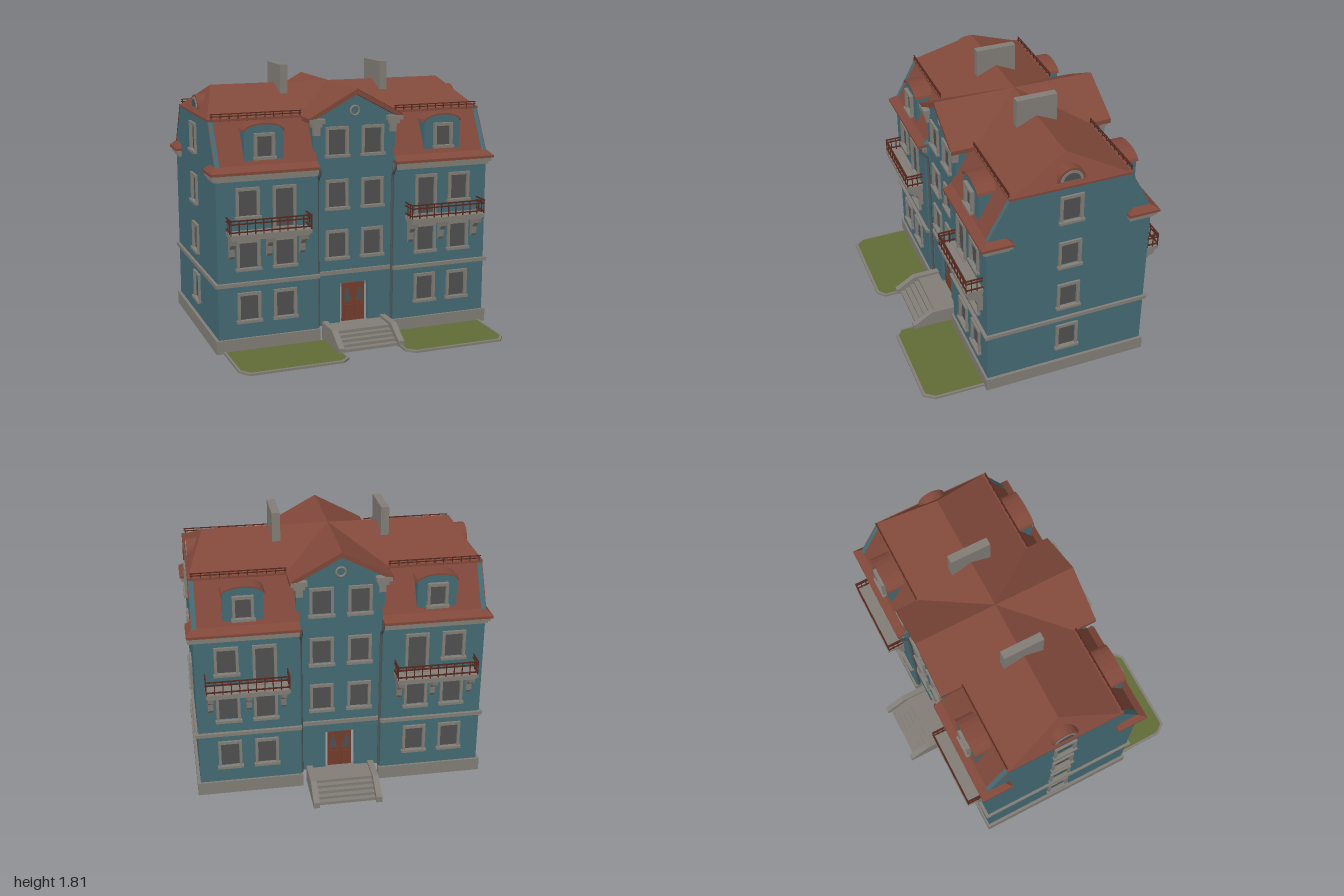
import * as THREE from 'three';

const mat = (name, color) => Object.assign(new THREE.MeshStandardMaterial({ color, side: THREE.DoubleSide }), { name });
const WALL = mat('wall teal', 0x456b75), ROOF = mat('roof red', 0x80483a), STONE = mat('stone grey', 0x827e77);
const GLASS = mat('window grey', 0x505050), RAIL = mat('rail brown', 0x55281e), DOOR = mat('door brown', 0x743d2c);
const LAWN = mat('lawn green', 0x616b36), PIPE = mat('pipe grey', 0x4f5657);

function add(parent, name, geo, m) {
  const mesh = new THREE.Mesh(geo, m);
  mesh.name = name;
  parent.add(mesh);
  return mesh;
}

// box given by its lower and upper limits on each axis
function box(p, name, m, x0, x1, y0, y1, z0, z1) {
  const g = new THREE.BoxGeometry(Math.abs(x1 - x0), y1 - y0, z1 - z0);
  return add(p, name, g.translate((x0 + x1) / 2, (y0 + y1) / 2, (z0 + z1) / 2), m);
}

// outline with rectangular holes [x, y, w, h] (centres), extruded so that it ends at z = front
function panel(pts, holes, depth, front) {
  const s = new THREE.Shape(pts.map(p => new THREE.Vector2(p[0], p[1])));
  for (const [x, y, w, h] of holes) {
    const a = w / 2, b = h / 2;
    s.holes.push(new THREE.Path([[x - a, y - b], [x - a, y + b], [x + a, y + b], [x + a, y - b]].map(p => new THREE.Vector2(...p))));
  }
  return new THREE.ExtrudeGeometry(s, { depth, bevelEnabled: false }).translate(0, 0, front - depth);
}
const rect = (x0, x1, y0, y1) => [[x0, y0], [x1, y0], [x1, y1], [x0, y1]];

// profile drawn in (z, y), extruded along x from x0 to x1
const sideProfile = (pts, x0, x1) => panel(pts, [], x1 - x0, x1 - x0).rotateY(-Math.PI / 2).translate(x1, 0, 0);

// flat faces, each a fan of corners
function faces(polys) {
  const v = [];
  for (const p of polys) for (let i = 1; i < p.length - 1; i++) v.push(...p[0], ...p[i], ...p[i + 1]);
  const g = new THREE.BufferGeometry();
  g.setAttribute('position', new THREE.Float32BufferAttribute(v, 3));
  g.computeVertexNormals();
  return g;
}

const arcPts = (r, h, n, y) => Array.from({ length: n + 1 }, (_, i) => {
  const a = Math.PI * i / n;
  return [r * Math.cos(a), y + h * Math.sin(a)];
});

// framed window with sill, centred on (x, y) of a wall at z
function windowUnit(p, x, y, z, w = 0.12, h = 0.165, name = 'window') {
  const g = new THREE.Group();
  g.name = name;
  g.position.set(x, y, z);
  const a = w / 2, b = h / 2;
  add(g, 'windowFrame', panel(rect(-a - 0.018, a + 0.018, -b - 0.015, b + 0.02), [[0, 0, w, h]], 0.025, 0.015), STONE);
  box(g, 'windowSill', STONE, -a - 0.026, a + 0.026, -b - 0.018, -b, 0, 0.026);
  box(g, 'windowPane', GLASS, -a, a, -b, b, -0.012, -0.006);
  p.add(g);
}

// balcony on three curved brackets with an open railing
function balcony(p) {
  const g = new THREE.Group();
  g.name = 'balcony';
  box(g, 'balconySlab', STONE, 0.35, 0.89, 0.785, 0.81, 0.56, 0.68);
  box(g, 'balconySlabMoulding', STONE, 0.36, 0.88, 0.77, 0.785, 0.56, 0.665);
  const curve = [[0.56, 0.77], [0.66, 0.77], [0.655, 0.74], [0.62, 0.73], [0.595, 0.7], [0.59, 0.65], [0.575, 0.63], [0.56, 0.63]];
  for (const x of [0.385, 0.61, 0.86]) add(g, 'balconyBracket', sideProfile(curve, x - 0.017, x + 0.017), STONE);
  const t = 0.004;
  for (const y of [0.828, 0.88, 0.902]) {
    box(g, 'frontRail', RAIL, 0.35, 0.89, y - t, y + t, 0.669, 0.677);
    for (const x of [0.354, 0.886]) box(g, 'sideRail', RAIL, x - t, x + t, y - t, y + t, 0.56, 0.675);
  }
  for (let i = 0; i <= 10; i++) {
    const x = 0.354 + 0.0532 * i;
    box(g, 'railPost', RAIL, x - 0.003, x + 0.003, 0.81, 0.9, 0.67, 0.676);
  }
  for (const x of [0.354, 0.886]) for (const z of [0.6, 0.637])
    box(g, 'railPost', RAIL, x - 0.003, x + 0.003, 0.81, 0.9, z - 0.003, z + 0.003);
  p.add(g);
}

// arched roof dormer
function dormer(p) {
  const g = new THREE.Group();
  g.name = 'dormer';
  g.position.x = 0.625;
  const face = [[-0.13, 1.23], [0.13, 1.23], ...arcPts(0.13, 0.045, 10, 1.435)];
  add(g, 'dormerBody', panel(face, [], 0.16, 0.535), WALL);
  add(g, 'dormerRoof', panel([...arcPts(0.14, 0.055, 10, 1.435), ...arcPts(0.13, 0.045, 10, 1.435).reverse()], [], 0.18, 0.545), ROOF);
  windowUnit(g, 0, 1.342, 0.548, 0.1, 0.13, 'dormerWindow');
  p.add(g);
}

// half of one wing facade on the +x side
function wing() {
  const g = new THREE.Group();
  g.name = 'wing';
  const holes = [];
  for (const x of [0.5, 0.745]) for (const y of [0.295, 0.645, 0.985]) {
    const door = x === 0.5 && y > 0.9;
    const o = door ? [x, 0.942, 0.12, 0.25] : [x, y, 0.12, 0.165];
    holes.push(o);
    windowUnit(g, o[0], o[1], 0.56, o[2], o[3], door ? 'balconyDoor' : 'window');
  }
  add(g, 'wingWall', panel(rect(0.27, 0.95, 0.09, 1.2), holes, 0.04, 0.56), WALL);
  box(g, 'wingPlinth', STONE, 0.26, 0.97, 0, 0.09, 0.52, 0.575);
  box(g, 'beltCourse', STONE, 0.265, 0.965, 0.442, 0.468, 0.55, 0.577);
  box(g, 'beltCourseLip', STONE, 0.265, 0.97, 0.46, 0.468, 0.55, 0.582);
  // cornice and eave, turning a short way round the corner
  [[1.13, 1.15, 0.575], [1.15, 1.175, 0.59]].forEach(([a, b, z]) => {
    box(g, 'cornice', STONE, 0.27, 0.39 + z, a, b, 0.54, z);
    box(g, 'corniceReturn', STONE, 0.95, 0.39 + z, a, b, 0.985 - z, z);
  });
  box(g, 'gutter', ROOF, 0.27, 0.99, 1.175, 1.192, 0.54, 0.605);
  box(g, 'eaveReturn', ROOF, 0.94, 0.99, 1.175, 1.192, 0.39, 0.605);
  add(g, 'eaveReturnRoof', faces([
    [[0.95, 1.225, 0.55], [0.95, 1.225, 0.43], [0.99, 1.19, 0.39], [0.99, 1.19, 0.605]],
    [[0.95, 1.225, 0.43], [0.95, 1.19, 0.39], [0.99, 1.19, 0.39]]]), ROOF);
  // steep lower roof with flared foot
  add(g, 'lowerRoof', faces([
    [[0.27, 1.225, 0.55], [0.955, 1.225, 0.55], [0.955, 1.5, 0.4], [0.27, 1.5, 0.4]],
    [[0.27, 1.19, 0.605], [0.99, 1.19, 0.605], [0.955, 1.225, 0.55], [0.27, 1.225, 0.55]]]), ROOF);
  box(g, 'roofBreak', ROOF, 0.28, 0.955, 1.492, 1.506, 0.395, 0.412);
  // snow guard
  for (const y of [1.522, 1.538]) box(g, 'snowGuardRail', RAIL, 0.33, 0.94, y - 0.003, y + 0.003, 0.405, 0.411);
  for (let i = 0; i < 11; i++) box(g, 'snowGuardPost', RAIL, 0.337 + 0.059 * i, 0.343 + 0.059 * i, 1.49, 1.54, 0.404, 0.41);
  // downpipe
  const path = new THREE.CatmullRomCurve3([[1.18, 0.59], [1.14, 0.585], [1.1, 0.545], [1.05, 0.54], [0.09, 0.54]].map(([y, z]) => new THREE.Vector3(0.265, y, z)));
  add(g, 'downpipe', new THREE.TubeGeometry(path, 30, 0.01, 8), PIPE);
  dormer(g);
  balcony(g);
  // bracket block under the gable foot
  box(g, 'gableBlock', STONE, 0.22, 0.325, 1.465, 1.495, 0.5, 0.565);
  box(g, 'gableBlock', STONE, 0.235, 0.305, 1.44, 1.465, 0.5, 0.555);
  box(g, 'gableBlock', STONE, 0.245, 0.29, 1.385, 1.44, 0.5, 0.54);
  // bay cheek above the eave
  box(g, 'bayCheek', WALL, 0.26, 0.288, 1.15, 1.5, 0.36, 0.52);
  // stair side wall
  add(g, 'stairCheek', sideProfile([[0.52, 0], [0.85, 0], [0.85, 0.04], [0.83, 0.045], [0.71, 0.12], [0.52, 0.12]], 0.19, 0.23), STONE);
  return g;
}

// central bay with door, stairs and gable
function bay() {
  const g = new THREE.Group();
  g.name = 'centralBay';
  const holes = [];
  for (const x of [-0.125, 0.125]) for (const y of [0.645, 0.985, 1.335]) {
    holes.push([x, y, 0.12, 0.165]);
    windowUnit(g, x, y, 0.52);
  }
  // doorway cut out of the lower edge
  const outline = [[-0.288, 0.09], [-0.1, 0.09], [-0.1, 0.375], [0.1, 0.375], [0.1, 0.09], [0.288, 0.09], [0.288, 1.49], [0, 1.645], [-0.288, 1.49]];
  add(g, 'bayWall', panel(outline, holes, 0.03, 0.52), WALL);
  box(g, 'beltCourse', STONE, -0.27, 0.27, 0.442, 0.468, 0.51, 0.535);
  add(g, 'rosette', new THREE.TorusGeometry(0.03, 0.008, 8, 20).translate(0, 1.535, 0.522), STONE);
  // door leaf with two slanted panes
  box(g, 'doorLeaf', DOOR, -0.08, 0.08, 0.1, 0.365, 0.49, 0.505);
  for (const s of [-1, 1]) {
    add(g, 'doorPane', panel([[0.015 * s, 0.24], [0.065 * s, 0.24], [0.065 * s, 0.3], [0.055 * s, 0.335], [0.04 * s, 0.335]], [], 0.006, 0.511), GLASS);
    box(g, 'doorPanel', DOOR, 0.012 * s, 0.065 * s, 0.12, 0.215, 0.505, 0.511);
  }
  // landing and steps
  box(g, 'landing', STONE, -0.19, 0.19, 0.075, 0.1, 0.49, 0.68);
  for (let i = 0; i < 4; i++) box(g, 'step', STONE, -0.19, 0.19, 0.06 - 0.02 * i, 0.08 - 0.02 * i, 0.67 + 0.035 * i, 0.715 + 0.035 * i);
  // gable roof and verge
  for (const s of [-1, 1]) add(g, 'gableRoof', faces([[[0, 1.682, 0], [0, 1.682, 0.56], [0.33 * s, 1.502, 0.56], [0.33 * s, 1.502, 0.4]]]), ROOF);
  add(g, 'gableVerge', panel([[0, 1.68], [-0.33, 1.5], [-0.33, 1.47], [0, 1.645], [0.33, 1.47], [0.33, 1.5]], [], 0.15, 0.56), ROOF);
  return g;
}

// end wall with four windows and half-round roof light, facing +z before turning
function endWall() {
  const g = new THREE.Group();
  g.name = 'endWall';
  const ys = [0.295, 0.645, 0.985, 1.335];
  ys.forEach(y => windowUnit(g, 0, y, 0.95));
  const outline = [[-0.56, 0.09], [0.56, 0.09], [0.56, 1.21], [0.4, 1.5], [-0.4, 1.5], [-0.56, 1.21]];
  add(g, 'endWallPanel', panel(outline, ys.map(y => [0, y, 0.12, 0.165]), 0.03, 0.95), WALL);
  box(g, 'endPlinth', STONE, -0.575, 0.575, 0, 0.09, 0.93, 0.97);
  box(g, 'beltCourse', STONE, -0.577, 0.577, 0.442, 0.468, 0.94, 0.967);
  box(g, 'endEave', ROOF, -0.4, 0.4, 1.492, 1.506, 0.93, 0.957);
  add(g, 'roofLightHood', panel(arcPts(0.095, 0.09, 14, 1.53), [], 0.1, 0.94), ROOF);
  add(g, 'roofLightPane', panel(arcPts(0.075, 0.07, 14, 1.535), [], 0.006, 0.945), STONE);
  add(g, 'roofLightGlass', panel(arcPts(0.055, 0.05, 14, 1.54), [], 0.004, 0.948), GLASS);
  return g;
}

export function createModel() {
  const model = new THREE.Group();
  model.name = 'house';
  const house = new THREE.Group();
  house.name = 'building';
  house.position.z = -0.07;
  model.add(house);

  // both long facades
  for (const turn of [0, Math.PI]) {
    const facade = new THREE.Group();
    facade.name = turn ? 'backFacade' : 'frontFacade';
    facade.rotation.y = turn;
    const mirrored = wing();
    mirrored.scale.x = -1;
    facade.add(wing(), mirrored, bay());
    house.add(facade);
  }
  for (const s of [-1, 1]) {
    const end = endWall();
    end.rotation.y = s * Math.PI / 2;
    house.add(end);
    box(house, 'chimney', STONE, s * 0.333, s * 0.387, 1.5, 1.81, -0.14, 0.138);
    // upper hipped roof
    add(house, 'upperRoof', faces([
      [[-0.83, 1.68, 0], [-0.955, 1.5, 0.4 * s], [0.955, 1.5, 0.4 * s], [0.83, 1.68, 0]],
      [[0.83 * s, 1.68, 0], [0.955 * s, 1.5, 0.4], [0.955 * s, 1.5, -0.4]]]), ROOF);
    // lawn with kerb
    const lawn = [[0.21, 0.5], [0.91, 0.5], [0.905, 0.84], [0.86, 0.9], [0.26, 0.9], [0.21, 0.86]];
    const kerb = [[0.195, 0.5], [0.21, 0.5], ...lawn.slice(2).reverse().slice(0, 4), [0.91, 0.5], [0.925, 0.5], [0.92, 0.85], [0.87, 0.918], [0.25, 0.918], [0.195, 0.87]];
    const flat = (pts, h) => panel(pts.map(([x, z]) => [x * s, -z]), [], h, h).rotateX(-Math.PI / 2);
    add(model, 'lawn', flat(lawn, 0.01), LAWN);
    add(model, 'lawnKerb', flat(kerb, 0.015), STONE);
  }
  return model;
}
